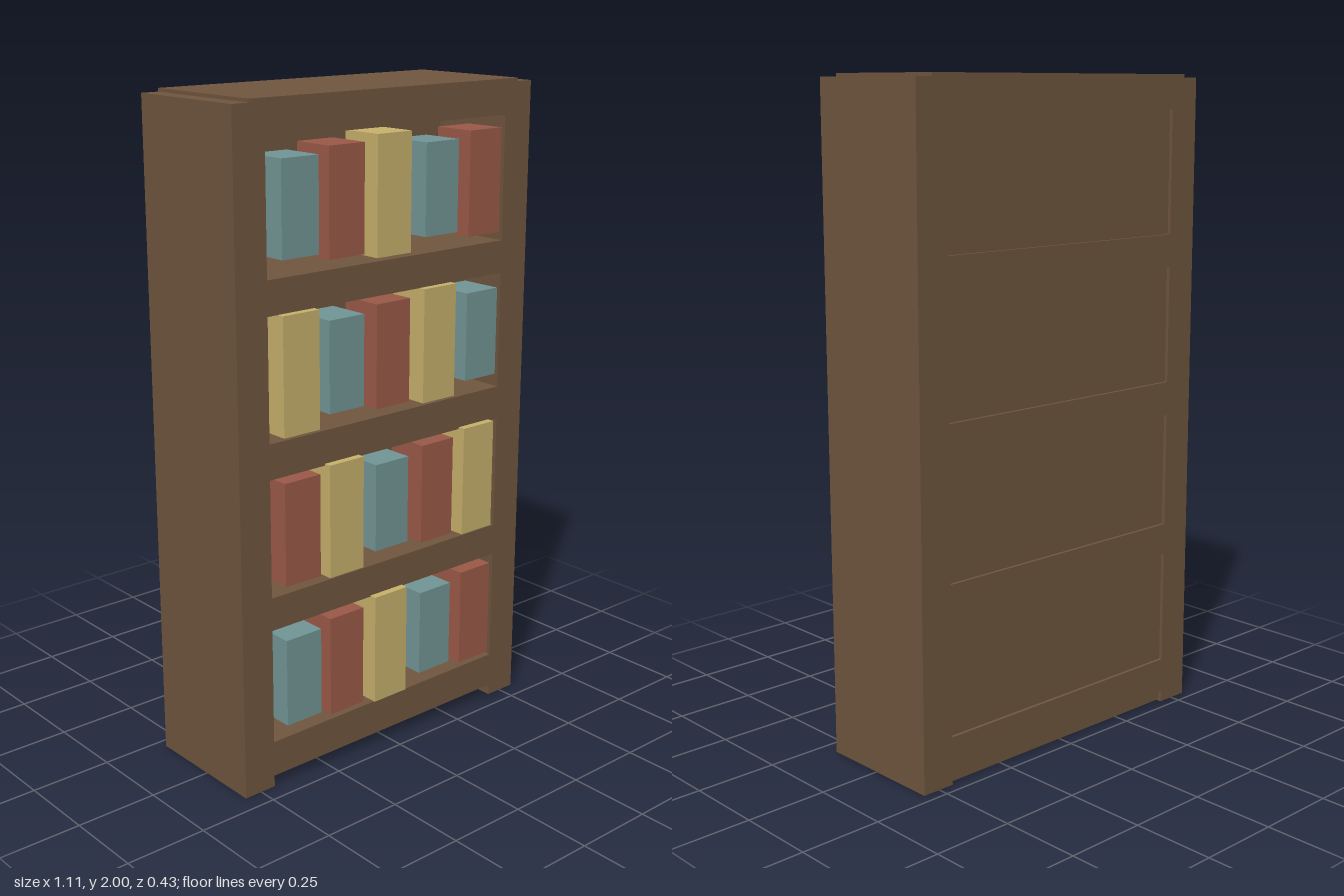
import * as THREE from 'three';

const material = (name, color) => {
  const m = new THREE.MeshStandardMaterial({ color });
  m.name = name;
  return m;
};

export function createModel() {
  const group = new THREE.Group();
  group.name = 'bookcase';
  const wood = material('brown wood', 0x70563f);
  const teal = material('teal cover', 0x739696);
  const red = material('red cover', 0x9c5a48);
  const yellow = material('yellow cover', 0xc8b26c);

  // Box given by its extents on each axis
  const box = (name, mat, [x0, x1], [y0, y1], [z0, z1]) => {
    const mesh = new THREE.Mesh(new THREE.BoxGeometry(x1 - x0, y1 - y0, z1 - z0), mat);
    mesh.position.set((x0 + x1) / 2, (y0 + y1) / 2, (z0 + z1) / 2);
    mesh.name = name;
    group.add(mesh);
  };

  const inner = [-0.45, 0.45];
  const depth = [-0.217, 0.193];

  // Side panels, reaching the floor as feet
  box('rightSide', wood, [-0.556, -0.45], [0, 1.99], depth);
  box('leftSide', wood, [0.45, 0.556], [0, 1.99], depth);

  // Top board with a slightly raised cap
  box('topBoard', wood, inner, [1.895, 1.99], depth);
  box('topCap', wood, [-0.5, 0.5], [1.99, 2], depth);

  // Shelves, bottom to top
  [[0.035, 0.145], [0.5, 0.6], [0.955, 1.06], [1.42, 1.52]].forEach((y, i) =>
    box(`shelf${i + 1}`, wood, inner, y, depth));

  // Thick back, set in a little behind the shelves
  box('backPanel', wood, inner, [0.005, 1.895], [-0.207, -0.08]);

  // Books: each colour has its own height, centred on its row
  const kinds = [[teal, 0.27], [red, 0.31], [yellow, 0.345]];
  const columns = [-0.352, -0.188, -0.012, 0.173, 0.348];
  const rows = [[0.331, 0], [0.788, 1], [1.248, 2], [1.708, 0]]; // centre height, first colour
  rows.forEach(([y, first], r) => columns.forEach((x, c) => {
    const [mat, h] = kinds[(first + c) % 3];
    box(`book${r + 1}_${c + 1}`, mat, [x - 0.064, x + 0.064], [y - h / 2, y + h / 2], [0.08, 0.216]);
  }));

  return group;
}
